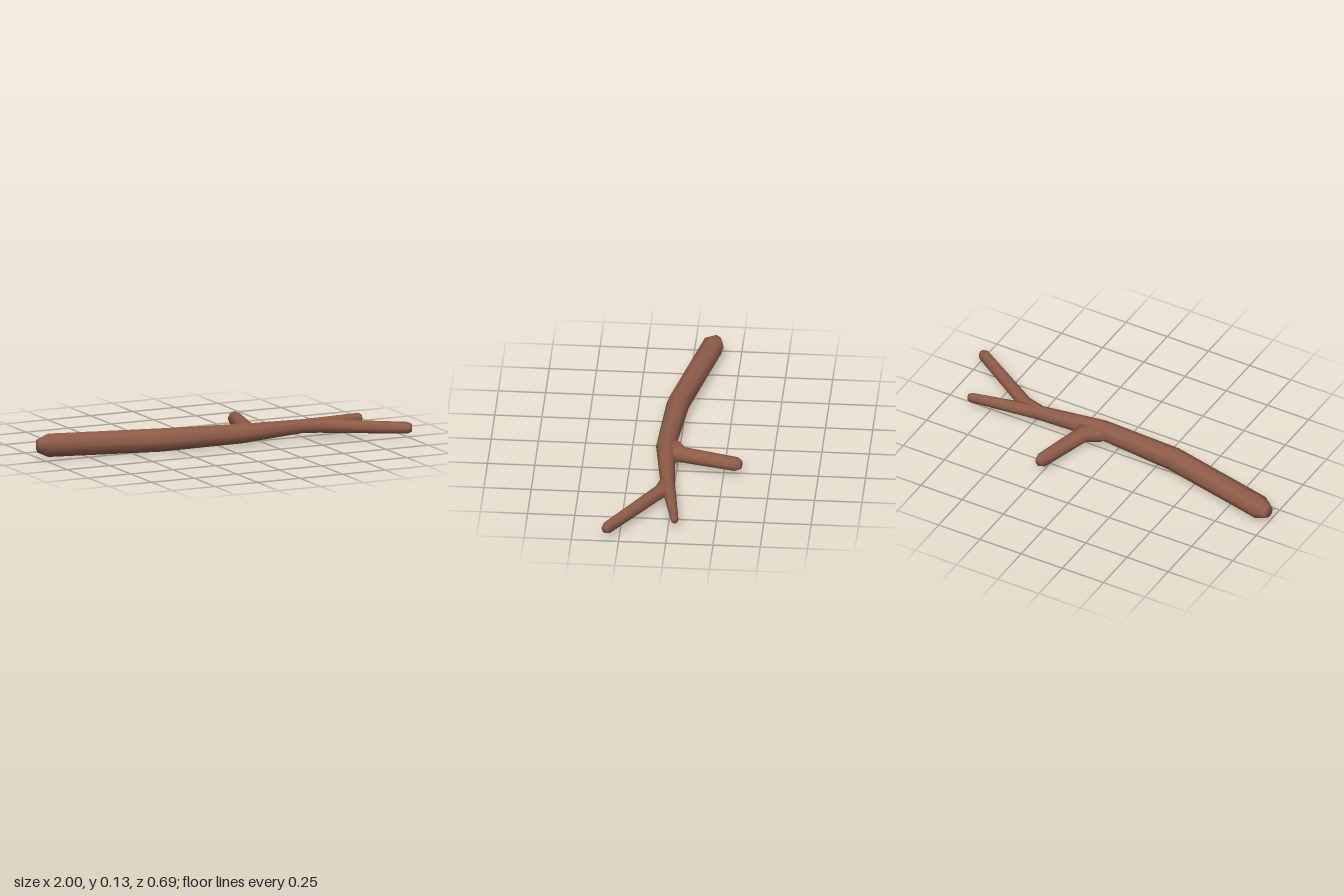
import * as THREE from 'three';

const SIDES = 8;
const Y = 0.066; // height of the branch axis

// Closed, tapering limb through stations [x, z, half width, half height]
function limbGeometry(stations) {
  const pos = [], index = [];
  const n = stations.length;
  const at = (i) => new THREE.Vector3(stations[i][0], 0, stations[i][1]);
  const dir = (i) => at(i + 1).sub(at(i)).normalize();

  // Rings stand square to the bend at each station
  for (let i = 0; i < n; i++) {
    const t = new THREE.Vector3();
    if (i > 0) t.add(dir(i - 1));
    if (i < n - 1) t.add(dir(i));
    t.normalize();
    const [x, z, w, h] = stations[i];
    for (let j = 0; j < SIDES; j++) {
      const a = (j / SIDES) * Math.PI * 2;
      const c = Math.cos(a) * w;
      pos.push(x - t.z * c, Y + Math.sin(a) * h, z + t.x * c);
    }
  }
  const start = n * SIDES, end = start + 1;
  pos.push(stations[0][0], Y, stations[0][1]);
  pos.push(stations[n - 1][0], Y, stations[n - 1][1]);

  // Bark between rings, then the two end caps
  for (let j = 0; j < SIDES; j++) {
    const k = (j + 1) % SIDES;
    for (let i = 0; i < n - 1; i++) {
      const a = i * SIDES, b = a + SIDES;
      index.push(a + j, b + j, a + k, b + j, b + k, a + k);
    }
    const last = (n - 1) * SIDES;
    index.push(start, j, k, last + j, end, last + k);
  }

  const geometry = new THREE.BufferGeometry();
  geometry.setAttribute('position', new THREE.Float32BufferAttribute(pos, 3));
  geometry.setIndex(index);
  geometry.computeVertexNormals();
  return geometry;
}

export function createModel() {
  const group = new THREE.Group();
  group.name = 'branch';
  const bark = new THREE.MeshStandardMaterial({ color: 0x8f5c49 });
  bark.name = 'brown bark';

  const limbs = {
    // Thick stem running on into the straight twig
    mainStem: [
      [-0.997, -0.115, 0.034, 0.036], [-0.94, -0.101, 0.061, 0.063],
      [-0.34, 0.035, 0.062, 0.063], [0.11, 0.067, 0.052, 0.053],
      [0.48, 0.03, 0.038, 0.038], [0.59, 0.011, 0.034, 0.035],
      [0.852, -0.035, 0.021, 0.029], [0.868, -0.037, 0.014, 0.019],
    ],
    // Back limb with a wide flared collar
    backLimb: [
      [0.165, 0.065, 0.11, 0.035], [0.16, 0.02, 0.105, 0.04],
      [0.187, -0.025, 0.044, 0.042], [0.263, -0.318, 0.037, 0.039],
      [0.27, -0.343, 0.022, 0.024],
    ],
    // Front fork
    frontTwig: [
      [0.46, 0.035, 0.034, 0.034], [0.575, 0.062, 0.037, 0.037],
      [0.97, 0.313, 0.031, 0.032], [0.988, 0.325, 0.02, 0.021],
    ],
  };
  for (const [name, stations] of Object.entries(limbs)) {
    const mesh = new THREE.Mesh(limbGeometry(stations), bark);
    mesh.name = name;
    group.add(mesh);
  }
  return group;
}
